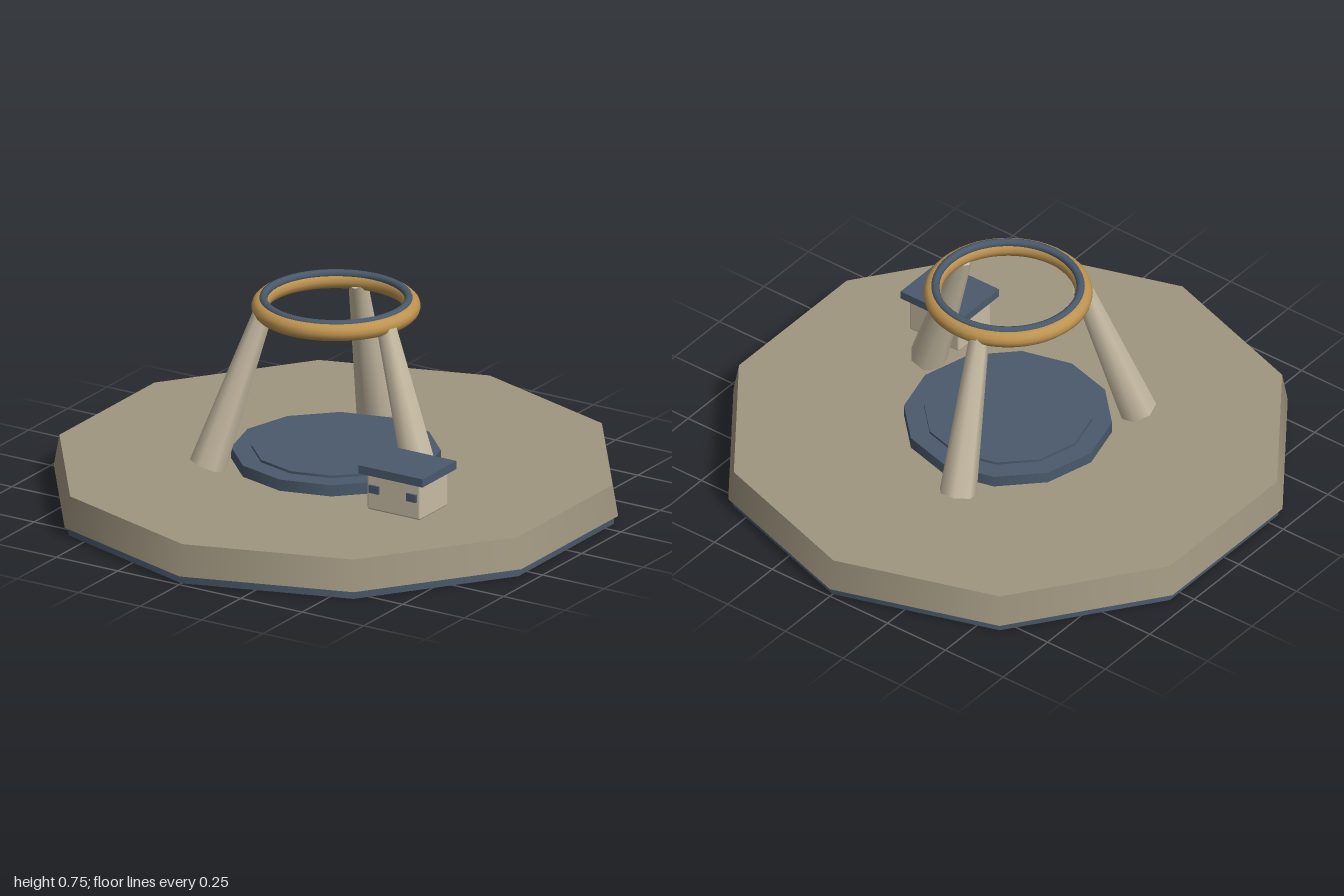
import * as THREE from 'three';
import { RoundedBoxGeometry } from 'three/addons/geometries/RoundedBoxGeometry.js';

function material(name, color) {
  const m = new THREE.MeshStandardMaterial({ color });
  m.name = name;
  return m;
}

export function createModel() {
  const stone = material('stone', 0xa09680);
  const paleStone = material('pale stone', 0xc8bca4);
  const slate = material('slate', 0x4a5a6c);
  const gold = material('gold', 0xbd9350);

  const model = new THREE.Group();
  model.name = 'ringMonument';

  function add(name, geometry, mat, x = 0, y = 0, z = 0) {
    const mesh = new THREE.Mesh(geometry, mat);
    mesh.name = name;
    mesh.position.set(x, y, z);
    model.add(mesh);
    return mesh;
  }

  // Upright polygonal disc between two heights
  function disc(name, topR, bottomR, y0, y1, sides, mat) {
    add(name, new THREE.CylinderGeometry(topR, bottomR, y1 - y0, sides), mat, 0, (y0 + y1) / 2, 0);
  }

  // Ten-sided plaza on a slate footing
  disc('footing', 0.985, 0.985, 0, 0.03, 10, slate);
  disc('platform', 0.98, 1.0, 0.03, 0.142, 10, stone);

  // Stepped central pad
  disc('pad', 0.36, 0.36, 0.142, 0.183, 12, slate);
  disc('padInset', 0.29, 0.29, 0.183, 0.192, 12, slate);

  // Raised ring with a slate rim
  add('ring', new THREE.TorusGeometry(0.26, 0.031, 12, 48), gold, 0, 0.706, 0).rotation.x = Math.PI / 2;
  add('ringRim', new THREE.TorusGeometry(0.25, 0.015, 8, 48), slate, 0, 0.732, 0).rotation.x = Math.PI / 2;

  // Three splayed, tapered legs
  const up = new THREE.Vector3(0, 1, 0);
  for (let i = 0; i < 3; i++) {
    const a = THREE.MathUtils.degToRad(15 + i * 120);
    const at = (r, y) => new THREE.Vector3(r * Math.cos(a), y, r * Math.sin(a));
    const foot = at(0.45, 0.16), head = at(0.257, 0.7);
    const axis = head.clone().sub(foot);
    const leg = add('leg', new THREE.CylinderGeometry(0.035, 0.066, axis.length(), 7), paleStone);
    leg.position.copy(foot).add(head).multiplyScalar(0.5);
    leg.quaternion.setFromUnitVectors(up, axis.normalize());
  }

  // Small kiosk with flat roof and two front windows
  const kx = 0.477, kz = 0.292;
  add('kioskBody', new RoundedBoxGeometry(0.216, 0.135, 0.18, 2, 0.008), paleStone, kx, 0.2235, kz);
  add('kioskRoof', new THREE.BoxGeometry(0.26, 0.03, 0.216), slate, kx, 0.303, kz);
  for (const side of [-1, 1]) {
    add('kioskWindow', new THREE.BoxGeometry(0.04, 0.028, 0.009), slate, kx + side * 0.076, 0.235, kz + 0.0935);
  }

  return model;
}
